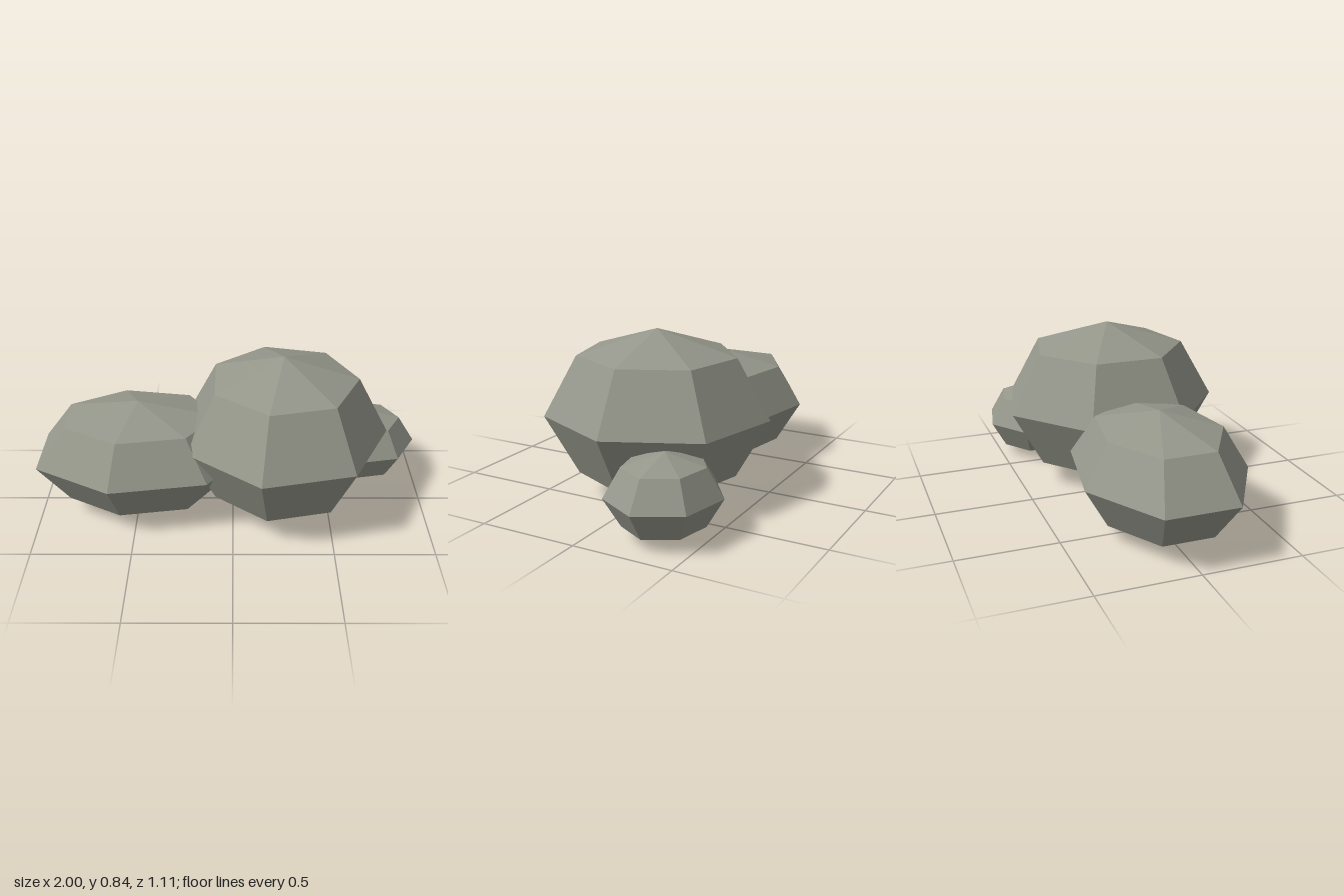
import * as THREE from 'three';

export function createModel() {
  const model = new THREE.Group();
  model.name = 'rockCluster';

  const stone = new THREE.MeshStandardMaterial({ color: 0x95978b, flatShading: true });
  stone.name = 'stone grey';

  // Seven-sided boulder resting on the ground, one corner pointing to +x
  const addRock = (name, x, z, rx, ry, rz) => {
    const geometry = new THREE.SphereGeometry(1, 7, 4);
    geometry.rotateY(Math.PI);
    geometry.scale(rx, ry, rz);
    geometry.computeVertexNormals();
    const rock = new THREE.Mesh(geometry, stone);
    rock.name = name;
    rock.position.set(x, ry, z);
    model.add(rock);
  };

  addRock('largeRock', 0.255, 0, 0.54, 0.42, 0.567);
  addRock('flatRock', -0.485, 0, 0.572, 0.296, 0.42);
  addRock('smallRock', 0.70, -0.295, 0.30, 0.197, 0.27);

  return model;
}
